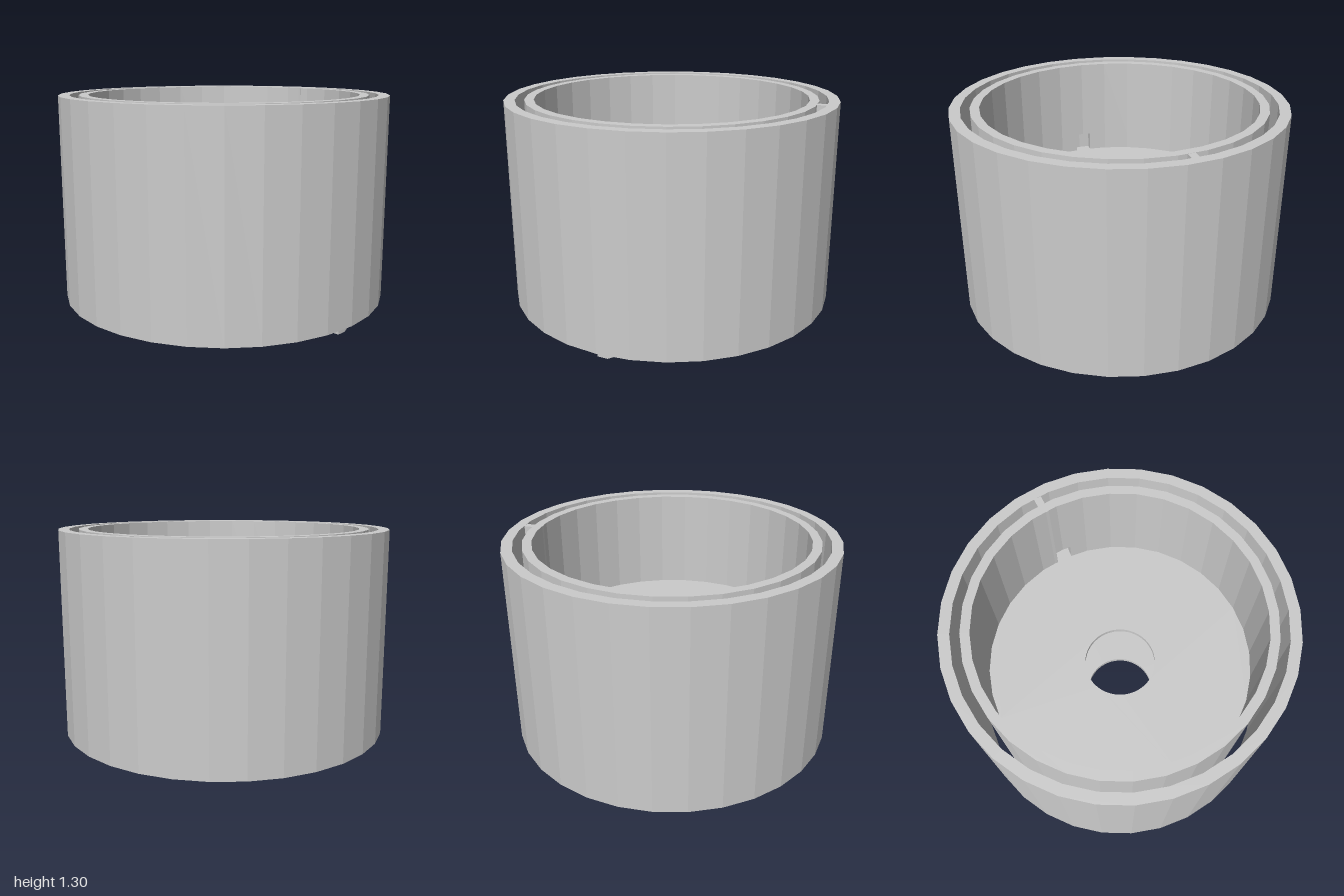
import * as THREE from 'three';

const SIDES = 32, STEP = Math.PI * 2 / SIDES;
const BOTTOM = 0.06, FLOOR = 0.67, NOTCH_TOP = 0.79, TOP = 1.3;
const material = new THREE.MeshStandardMaterial({ color: 0xcccccc, flatShading: true });

// point on a regular polygon of vertex radius r, at angle a
function onPolygon(r, a) {
  const local = a - Math.floor(a / STEP) * STEP - STEP / 2;
  const d = r * Math.cos(STEP / 2) / Math.cos(local);
  return new THREE.Vector2(d * Math.cos(a), d * Math.sin(a));
}

// polygon points between two angles, keeping the corners in between
function arc(r, a0, a1) {
  const angles = [a0];
  for (let k = Math.ceil(a0 / STEP + 1e-6); k * STEP < a1 - 1e-6; k++) angles.push(k * STEP);
  angles.push(a1);
  return angles.map(a => onPolygon(r, a));
}

// extrude a plan shape (x, z) from y0 to y1
function slab(shape, y0, y1, name) {
  const geo = new THREE.ExtrudeGeometry(shape, { depth: y1 - y0, bevelEnabled: false, curveSegments: 32 });
  geo.rotateX(Math.PI / 2).translate(0, y1, 0);
  const mesh = new THREE.Mesh(geo, material);
  mesh.name = name;
  return mesh;
}

function ringShape(rOut, rIn, roundHole = false) {
  const full = r => arc(r, 0, Math.PI * 2).slice(0, -1);
  const shape = new THREE.Shape(full(rOut));
  shape.holes.push(roundHole
    ? new THREE.Path().absarc(0, 0, rIn, 0, Math.PI * 2, true)
    : new THREE.Path(full(rIn).reverse()));
  return shape;
}

// curved ramp swept from rectangular sections
function rampGeometry(rIn, rOut, thickness) {
  const q = Math.PI / 2, start = -q + 0.11, end = -0.033, n = 24;
  const stations = [[-q - 0.057, FLOOR - thickness]];
  for (let i = 0; i <= n; i++) {
    const t = i / n;
    stations.push([start + (end - start) * t, (FLOOR - thickness) * (1 - t)]);
  }
  stations.push([0.033, 0]);
  const pos = [], idx = [];
  for (const [a, y] of stations) {
    for (const [r, h] of [[rIn, 0], [rOut, 0], [rOut, thickness], [rIn, thickness]]) {
      const p = onPolygon(r, a);
      pos.push(p.x, y + h, p.y);
    }
  }
  const last = (stations.length - 1) * 4;
  for (let s = 0; s < last; s += 4) {
    for (let k = 0; k < 4; k++) {
      const a = s + k, b = s + (k + 1) % 4;
      idx.push(a, b, a + 4, b, b + 4, a + 4);
    }
  }
  idx.push(0, 2, 1, 0, 3, 2, last, last + 1, last + 2, last, last + 2, last + 3);
  const geo = new THREE.BufferGeometry();
  geo.setAttribute('position', new THREE.Float32BufferAttribute(pos, 3));
  geo.setIndex(idx);
  const flat = geo.toNonIndexed();
  flat.computeVertexNormals();
  return flat;
}

export function createModel() {
  const model = new THREE.Group();
  model.name = 'doubleWalledDrum';

  model.add(slab(ringShape(1, 0.935), BOTTOM, TOP, 'outerWall'));

  // inner wall with a small opening at the front and the back, at floor level
  const inner = new THREE.Group();
  inner.name = 'innerWall';
  const wall = ringShape(0.88, 0.825);
  inner.add(slab(wall, BOTTOM, FLOOR, 'lowerInnerWall'));
  inner.add(slab(wall, NOTCH_TOP, TOP, 'upperInnerWall'));
  const half = 0.06;
  for (const mid of [0, Math.PI]) {
    const a0 = mid - Math.PI / 2 + half, a1 = mid + Math.PI / 2 - half;
    const shape = new THREE.Shape([...arc(0.88, a0, a1), ...arc(0.825, a0, a1).reverse()]);
    inner.add(slab(shape, FLOOR, NOTCH_TOP, 'notchedInnerWall'));
  }
  model.add(inner);

  // two thin plates with a round centre hole
  const plate = ringShape(0.825, 0.22, true);
  model.add(slab(plate, 0.09, 0.12, 'bottomPlate'));
  model.add(slab(plate, FLOOR - 0.03, FLOOR, 'floorPlate'));

  // web joining the two walls at the back
  const web = new THREE.Mesh(new THREE.BoxGeometry(0.045, TOP - BOTTOM - 0.002, 0.13), material);
  web.position.set(-0.075, (TOP + BOTTOM) / 2, -0.883);
  web.name = 'backWeb';
  model.add(web);

  // chute between the walls, from the back opening down to the left side
  const ramp = new THREE.Mesh(rampGeometry(0.88, 0.937, 0.06), material);
  ramp.name = 'spiralRamp';
  model.add(ramp);

  return model;
}
